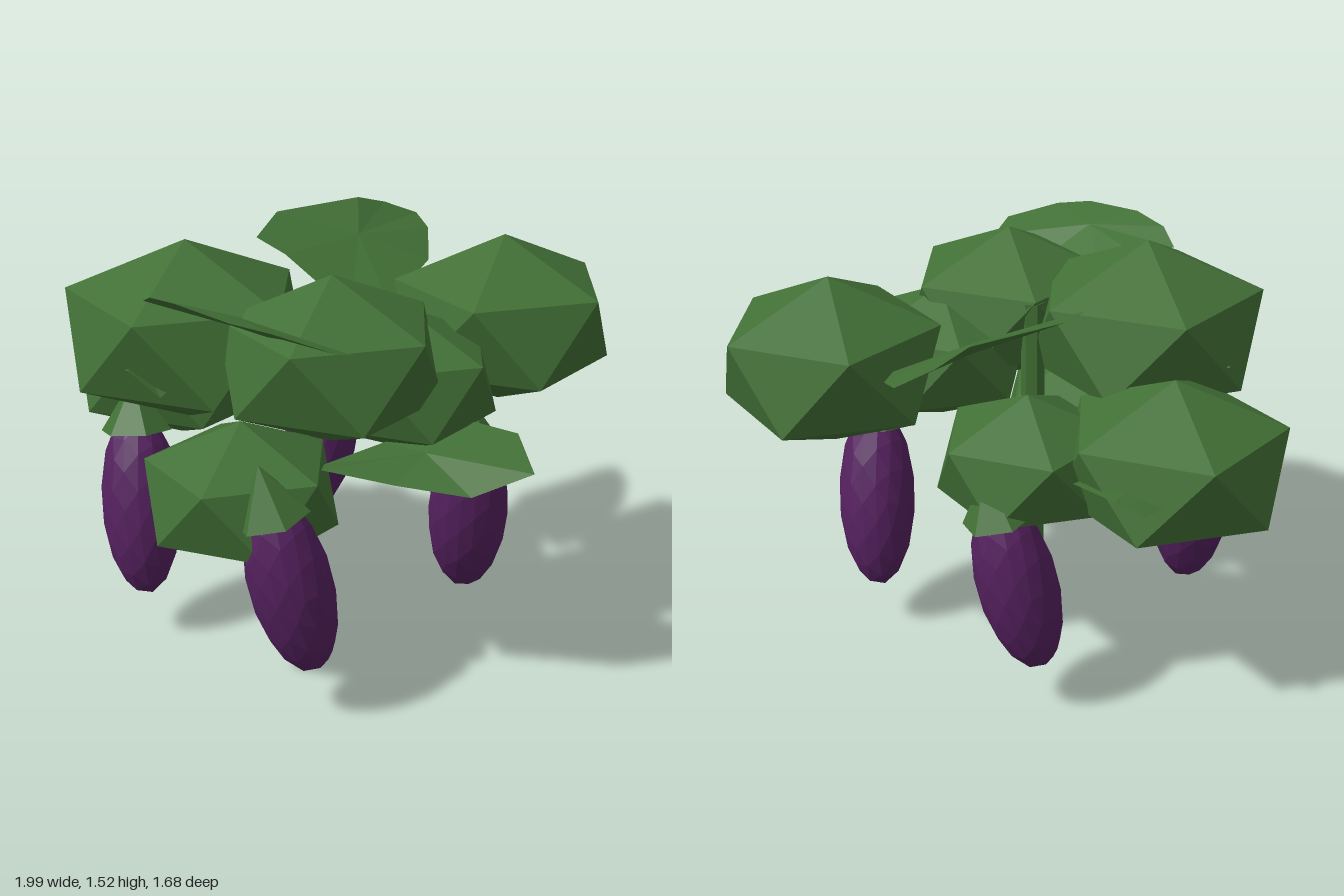
import * as THREE from 'three';
import { ConvexGeometry } from 'three/addons/geometries/ConvexGeometry.js';

const V = (x, y, z) => new THREE.Vector3(x, y, z);

// Twenty-sided clump standing on a pole: apex, two offset rings of five, base
function clumpGeometry(r, h) {
  const pts = [V(0, h, 0), V(0, -h, 0)];
  for (let k = 0; k < 5; k++) {
    const a = (k * 2 * Math.PI) / 5, b = a + Math.PI / 5;
    pts.push(V(r * Math.cos(a), h * 0.447, r * Math.sin(a)));
    pts.push(V(r * Math.cos(b), -h * 0.447, r * Math.sin(b)));
  }
  return new ConvexGeometry(pts);
}

// Thin lens-shaped leaf from an outline, with a slightly raised middle
function leafGeometry(outline, rise = 0.025) {
  const pts = outline.map((p) => V(...p));
  const mid = V(0, 0, 0);
  pts.forEach((p) => mid.addScaledVector(p, 1 / pts.length));
  const top = mid.clone().add(V(0, rise, 0)), under = mid.clone().add(V(0, -rise * 0.4, 0));
  const tris = [];
  pts.forEach((p, i) => {
    const q = pts[(i + 1) % pts.length];
    tris.push(top, p, q, under, q, p);
  });
  const geo = new THREE.BufferGeometry().setFromPoints(tris);
  geo.computeVertexNormals();
  return geo;
}

export function createModel() {
  const group = new THREE.Group();
  const green = new THREE.MeshStandardMaterial({ color: 0x427036, flatShading: true });
  green.name = 'leaf green';
  const purple = new THREE.MeshStandardMaterial({ color: 0x55215f, flatShading: true });
  purple.name = 'fruit purple';

  const add = (name, geo, mat, parent = group) => {
    const mesh = new THREE.Mesh(geo, mat);
    mesh.name = name;
    parent.add(mesh);
    return mesh;
  };

  // Stem
  add('stem', new THREE.CylinderGeometry(0.043, 0.043, 1.31, 6), green).position.set(0.04, 0.655, 0.105);

  // Foliage clumps: x, y, z, ring radius, half height
  [
    [-0.24, 1.2, 0.4, 0.415, 0.32],
    [0.31, 1.19, 0.3, 0.373, 0.29],
    [0.475, 1.163, -0.47, 0.384, 0.307],
    [-0.61, 0.907, 0.05, 0.39, 0.3],
    [0.11, 0.735, 0.53, 0.326, 0.257],
    [0.4, 1.06, 0.02, 0.32, 0.255],
    [-0.18, 0.87, -0.2, 0.315, 0.25],
  ].forEach(([x, y, z, r, h], i) => {
    add('foliage' + (i + 1), clumpGeometry(r, h), green).position.set(x, y, z);
  });

  // Loose leaves
  const leaves = {
    frontTopLeaf: [
      [-0.16, 1.395, 0.69], [-0.07, 1.44, 0.75], [0.08, 1.46, 0.79], [0.31, 1.45, 0.8], [0.43, 1.43, 0.75],
      [0.59, 1.37, 0.64], [0.57, 1.33, 0.53], [0.3, 1.31, 0.53], [0.08, 1.34, 0.53], [-0.06, 1.37, 0.59],
    ],
    backTopLeaf: [
      [-0.16, 1.36, -0.83], [-0.24, 1.41, -0.73], [-0.27, 1.45, -0.6], [-0.38, 1.45, -0.25], [-0.31, 1.41, -0.05],
      [-0.2, 1.36, -0.08], [0.08, 1.2, -0.1], [0.14, 1.2, -0.25], [0.07, 1.27, -0.59], [-0.06, 1.33, -0.77],
    ],
    leftLowLeaf: [
      [0.99, 0.9, 0.11], [0.83, 0.95, -0.04], [0.6, 0.95, -0.03], [0.42, 0.87, 0.14], [0.36, 0.86, 0.4],
      [0.45, 0.91, 0.53], [0.64, 0.86, 0.39], [0.85, 0.83, 0.26],
    ],
    rightLowLeaf: [
      [-0.79, 0.93, -0.37], [-0.79, 0.9, -0.2], [-0.68, 0.88, 0], [-0.45, 0.88, -0.05],
      [-0.45, 0.91, -0.3], [-0.68, 0.95, -0.38],
    ],
    rightInnerLeaf: [
      [-0.64, 1.16, 0.34], [-0.55, 1.14, 0.52], [-0.3, 1.15, 0.73], [-0.15, 1.18, 0.78],
      [-0.03, 1.11, 0.76], [-0.12, 1.1, 0.55], [-0.4, 1.12, 0.35],
    ],
  };
  for (const [name, outline] of Object.entries(leaves)) add(name, leafGeometry(outline), green);

  // Hanging fruits with pointed caps: top and bottom ends of each axis
  [
    [V(-0.49, 0.845, 0.42), V(-0.38, 0.175, 0.51)],
    [V(-0.22, 0.83, -0.43), V(-0.35, 0.175, -0.34)],
    [V(0.33, 0.83, 0.66), V(0.43, 0.175, 0.54)],
    [V(0.58, 0.845, -0.16), V(0.47, 0.175, -0.29)],
  ].forEach(([top, bottom], i) => {
    const fruit = new THREE.Group();
    fruit.name = 'fruit' + (i + 1);
    const axis = top.clone().sub(bottom);
    const half = axis.length() / 2;
    fruit.position.copy(top).add(bottom).multiplyScalar(0.5);
    fruit.quaternion.setFromUnitVectors(V(0, 1, 0), axis.normalize());
    const body = new THREE.IcosahedronGeometry(1, 2).scale(0.142, half, 0.142);
    add('fruitBody', body, purple, fruit);
    const cap = add('fruitCap', new THREE.ConeGeometry(0.13, 0.19, 6), green, fruit);
    cap.position.y = half + 0.02;
    group.add(fruit);
  });

  return group;
}
